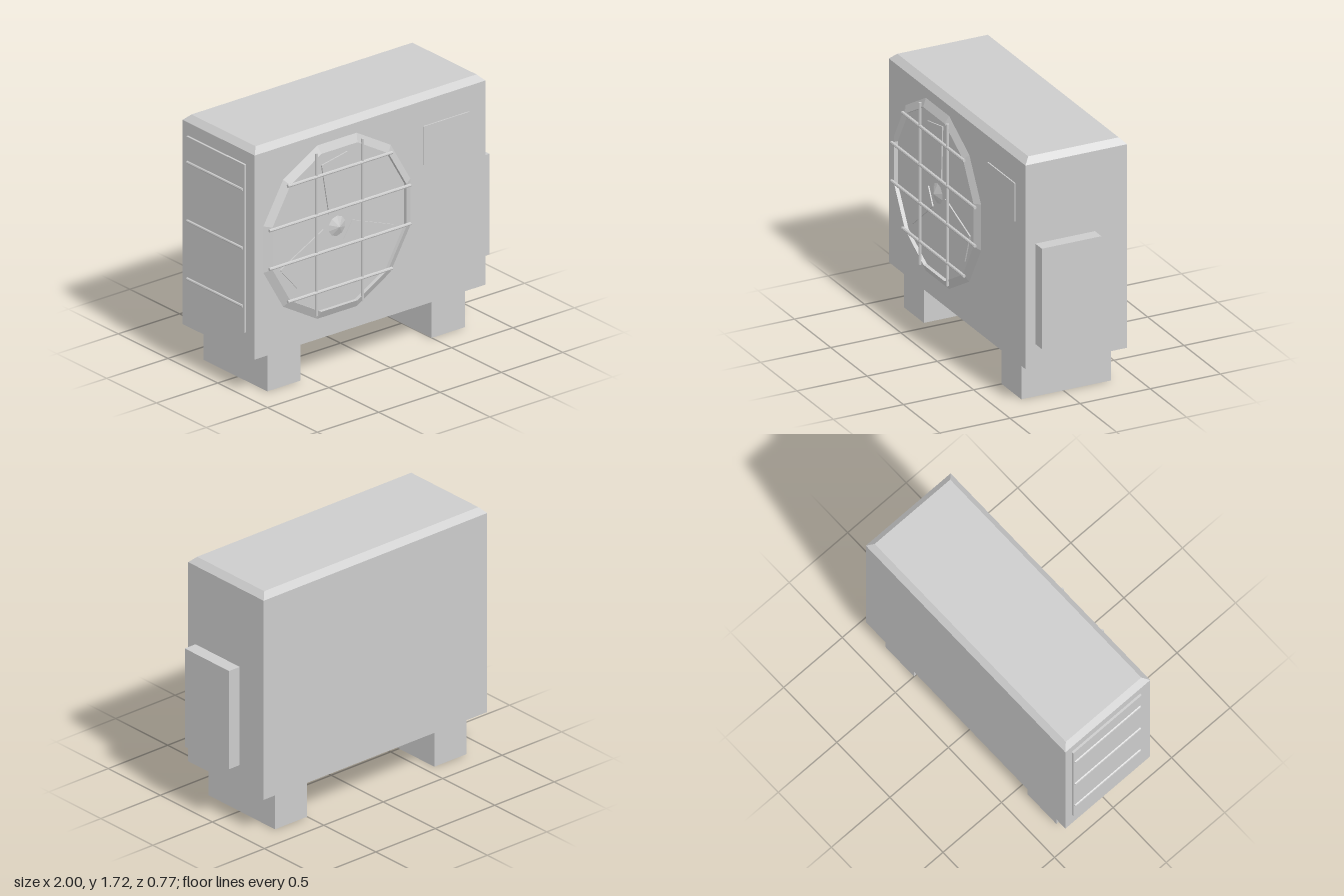
import * as THREE from 'three';

const grey = new THREE.MeshStandardMaterial({ color: 0xcccccc, flatShading: true });
grey.name = 'casing grey';

const FRONT = 0.34;                    // z of the front panel
const FAN = { x: -0.305, y: 1.01 };    // fan centre

export function createModel() {
  const model = new THREE.Group();
  model.name = 'outdoorUnit';

  const add = (name, geometry, parent = model) => {
    const mesh = new THREE.Mesh(geometry, grey);
    mesh.name = name;
    parent.add(mesh);
    return mesh;
  };
  // Box given by its lower and upper corners
  const box = (name, [x0, y0, z0], [x1, y1, z1]) => {
    const g = new THREE.BoxGeometry(x1 - x0, y1 - y0, z1 - z0);
    g.translate((x0 + x1) / 2, (y0 + y1) / 2, (z0 + z1) / 2);
    return add(name, g);
  };
  // Thin rod between two points
  const rod = (name, a, b, radius) => {
    const p = new THREE.Vector3(...a), q = new THREE.Vector3(...b);
    const mesh = add(name, new THREE.CylinderGeometry(radius, radius, p.distanceTo(q), 8));
    mesh.position.copy(p).lerp(q, 0.5);
    mesh.quaternion.setFromUnitVectors(new THREE.Vector3(0, 1, 0), q.sub(p).normalize());
  };

  // Casing with a chamfered top edge
  const casing = new THREE.BoxGeometry(1.88, 1.45, 0.725, 1, 2, 1);
  const pos = casing.attributes.position;
  for (let i = 0; i < pos.count; i++) {
    const y = pos.getY(i);
    if (y > 0.5) {
      pos.setX(i, pos.getX(i) - Math.sign(pos.getX(i)) * 0.04);
      pos.setZ(i, pos.getZ(i) - Math.sign(pos.getZ(i)) * 0.04);
    } else if (y > -0.5) {
      pos.setY(i, 0.685);
    }
  }
  casing.computeVertexNormals();
  casing.translate(-0.035, 0.995, -0.0225);
  add('casing', casing);

  // Feet
  for (const x of [-0.84, 0.5]) box('foot', [x, 0, -0.34], [x + 0.27, 0.27, 0.3]);

  // Valve cover on one end, label plate on the front
  box('valveCover', [0.905, 0.43, -0.155], [0.995, 1.125, 0.27]);
  box('labelPlate', [0.395, 1.24, FRONT], [0.77, 1.505, FRONT + 0.009]);

  // Side vent panel with slats
  box('ventPanel', [-0.99, 0.43, -0.33], [-0.975, 1.59, 0.255]);
  for (const y of [0.61, 1.01, 1.415])
    rod('ventSlat', [-0.99, y, -0.32], [-0.99, y, 0.24], 0.01);

  // Fan: twelve-sided shroud, hub and three blades
  const fan = new THREE.Group();
  fan.name = 'fan';
  fan.position.set(FAN.x, FAN.y, FRONT);
  model.add(fan);

  const profile = [[0.62, 0], [0.565, 0.026], [0.565, 0]].map(p => new THREE.Vector2(...p));
  const shroud = new THREE.LatheGeometry(profile, 12);
  shroud.rotateX(Math.PI / 2).rotateZ(Math.PI / 12);
  add('fanShroud', shroud, fan);

  const hub = new THREE.ConeGeometry(0.07, 0.028, 10);
  hub.rotateX(Math.PI / 2).translate(0, 0, 0.014);
  add('fanHub', hub, fan);

  const bladeShape = new THREE.Shape([[-0.13, 0.455], [-0.07, 0.1], [0.065, 0.095], [0.08, 0.495]]
    .map(p => new THREE.Vector2(...p)));
  const blade = new THREE.ExtrudeGeometry(bladeShape, { depth: 0.009, bevelEnabled: false });
  for (let i = 0; i < 3; i++) add('fanBlade', blade, fan).rotation.z = i * Math.PI * 2 / 3;

  // Guard bars across the fan
  for (const [dy, half] of [[0.4, 0.425], [0.133, 0.575], [-0.133, 0.575], [-0.4, 0.425]])
    rod('guardBar', [FAN.x - half, FAN.y + dy, 0.37], [FAN.x + half, FAN.y + dy, 0.37], 0.011);
  for (const dx of [-0.188, 0.188])
    rod('guardUpright', [FAN.x + dx, FAN.y - 0.56, 0.367], [FAN.x + dx, FAN.y + 0.56, 0.367], 0.01);

  return model;
}
